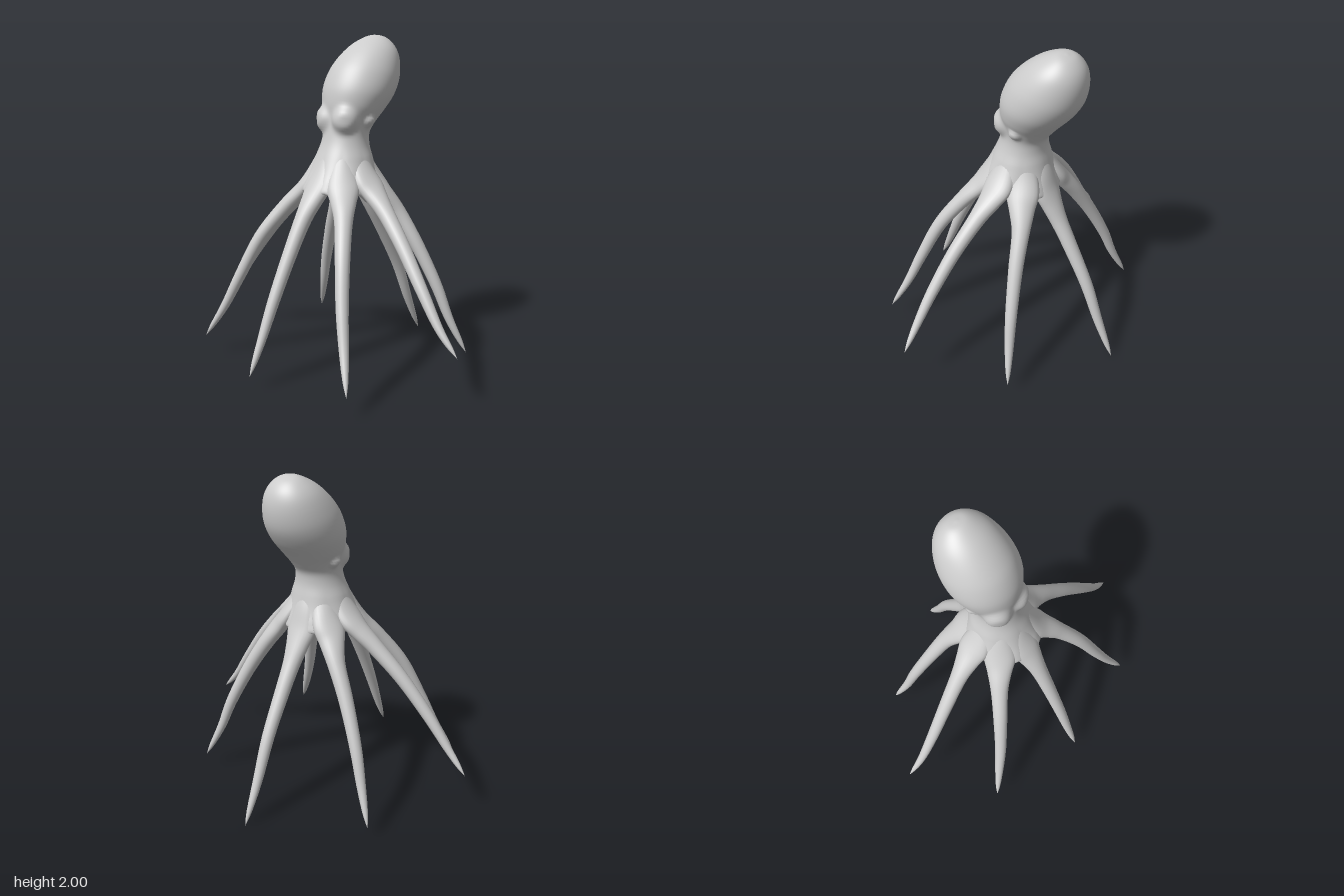
import * as THREE from 'three';
import { mergeVertices } from 'three/addons/utils/BufferGeometryUtils.js';

const V = (x, y, z) => new THREE.Vector3(x, y, z);

// Skin a list of closed rings (each an array of points) with smooth normals
function loft(rings) {
  const n = rings[0].length;
  const index = [];
  for (let i = 0; i < rings.length - 1; i++) {
    for (let j = 0; j < n; j++) {
      const k = (j + 1) % n;
      const a = i * n + j, b = a + n, c = i * n + k, d = c + n;
      index.push(a, b, d, a, d, c);
    }
  }
  let geo = new THREE.BufferGeometry().setFromPoints(rings.flat());
  geo.setIndex(index);
  geo = mergeVertices(geo, 1e-5);
  geo.computeVertexNormals();
  return geo;
}

// Body sections, top to bottom: front z, front y, back z, back y, half width, web ridge
const SECTIONS = [
  [-0.30, 1.998, -0.30, 1.998, 0, 0],
  [-0.25, 2.0, -0.35, 1.975, 0.06, 0],
  [-0.18, 1.975, -0.39, 1.93, 0.115, 0],
  [-0.11, 1.935, -0.41, 1.875, 0.158, 0],
  [-0.03, 1.87, -0.412, 1.80, 0.192, 0],
  [0.035, 1.795, -0.39, 1.71, 0.214, 0],
  [0.085, 1.69, -0.335, 1.62, 0.216, 0],
  [0.10, 1.60, -0.265, 1.54, 0.19, 0],
  [0.10, 1.52, -0.21, 1.475, 0.154, 0],
  [0.11, 1.44, -0.172, 1.42, 0.137, 0],
  [0.13, 1.36, -0.165, 1.36, 0.145, 0],
  [0.165, 1.28, -0.18, 1.28, 0.175, 0.1],
  [0.205, 1.20, -0.20, 1.20, 0.205, 0.4],
  [0.245, 1.13, -0.225, 1.13, 0.23, 0.8],
  [0.262, 1.085, -0.235, 1.085, 0.24, 1],
  [0.22, 1.075, -0.20, 1.075, 0.20, 0.8],
  [0.12, 1.11, -0.10, 1.11, 0.11, 0.2],
  [0.01, 1.13, 0.01, 1.13, 0, 0],
];
const ARM_ANGLES = [0, 43, 87, 130, 180].map(THREE.MathUtils.degToRad);

// Brow bulges and eye knobs: centre, height, spread
const BUMPS = [
  [V(0.085, 1.50, 0.065), 0.045, 0.07],
  [V(0.145, 1.49, -0.07), 0.026, 0.034],
];

function bodyGeometry() {
  const front = new THREE.CatmullRomCurve3(SECTIONS.map(s => V(s[0], s[1], s[4])));
  const back = new THREE.CatmullRomCurve3(SECTIONS.map(s => V(s[2], s[3], s[5])));
  const rows = (SECTIONS.length - 1) * 5, n = 96, rings = [];
  for (let i = 0; i <= rows; i++) {
    const f = front.getPoint(i / rows), b = back.getPoint(i / rows);
    const ring = [];
    for (let j = 0; j < n; j++) {
      const a = (j / n) * Math.PI * 2, c = Math.cos(a), s = Math.sin(a);
      const p = V(s * f.z, (f.y + b.y) / 2 + c * (f.y - b.y) / 2,
        (f.x + b.x) / 2 + c * (f.x - b.x) / 2);
      // hem of the web dips where an arm leaves it
      const around = a > Math.PI ? Math.PI * 2 - a : a;
      const gap = Math.min(...ARM_ANGLES.map(t => Math.abs(around - t)));
      p.y -= 0.06 * b.z * Math.max(0, 1 - gap / 0.39) ** 2;
      // mirrored facial bumps push the skin outward
      let push = 0;
      for (const [q, height, spread] of BUMPS) {
        const d = Math.hypot(Math.abs(p.x) - q.x, p.y - q.y, p.z - q.z) / spread;
        push += height * Math.exp(-(d ** 4));
      }
      p.add(V(s * push, 0, c * push));
      ring.push(p);
    }
    rings.push(ring);
  }
  return loft(rings);
}

// Arm section: position along the arm, half width, half thickness.
// The broad root fans out into the web.
const TAPER = new THREE.CatmullRomCurve3([
  V(0, 0.04, 0.03), V(0.1, 0.075, 0.048), V(0.19, 0.095, 0.05), V(0.26, 0.074, 0.05),
  V(0.34, 0.054, 0.047), V(0.5, 0.043, 0.041), V(0.7, 0.035, 0.034),
  V(0.85, 0.026, 0.025), V(0.95, 0.014, 0.014), V(1, 0, 0),
]);

function armGeometry(points, mirror) {
  const curve = new THREE.CatmullRomCurve3(points.map(([x, y, z]) => V(x * mirror, y, z)));
  const steps = 54, n = 24, rings = [];
  for (let i = 0; i <= steps; i++) {
    const { x, y: width, z: thickness } = TAPER.getPoint(i / steps);
    const t = THREE.MathUtils.clamp(x, 0, 1);
    const centre = curve.getPointAt(t), tangent = curve.getTangentAt(t);
    const side = V(0, 1, 0).cross(tangent).normalize();
    const outward = tangent.clone().cross(side);
    const ring = [];
    for (let j = 0; j < n; j++) {
      const a = (j / n) * Math.PI * 2;
      ring.push(centre.clone()
        .addScaledVector(side, Math.cos(a) * width)
        .addScaledVector(outward, -Math.sin(a) * thickness));
    }
    rings.push(ring);
  }
  return loft(rings);
}

// Centre lines of the arms on the left half
const ARMS = {
  frontArm: [[0, 1.36, 0.08], [0, 1.2, 0.15], [0, 1.08, 0.225], [0, 0.95, 0.315],
    [0, 0.8, 0.40], [0, 0.5, 0.55], [0, 0.25, 0.66], [0, 0.08, 0.74]],
  frontSideArm: [[0.06, 1.36, 0.06], [0.11, 1.2, 0.11], [0.17, 1.08, 0.165], [0.25, 0.97, 0.24],
    [0.36, 0.78, 0.355], [0.46, 0.52, 0.455], [0.54, 0.32, 0.52], [0.64, 0.12, 0.6]],
  sideArm: [[0.08, 1.36, -0.01], [0.15, 1.22, 0], [0.24, 1.11, 0.005], [0.38, 0.985, 0.03],
    [0.54, 0.825, 0.065], [0.72, 0.605, 0.1], [0.86, 0.42, 0.115], [0.975, 0.295, 0.11]],
  backSideArm: [[0.06, 1.36, -0.07], [0.11, 1.2, -0.11], [0.18, 1.08, -0.15], [0.26, 0.95, -0.205],
    [0.37, 0.76, -0.255], [0.49, 0.5, -0.315], [0.56, 0.3, -0.355], [0.65, 0.09, -0.415]],
  backArm: [[0, 1.36, -0.1], [0, 1.2, -0.155], [0, 1.08, -0.195], [0, 0.93, -0.27],
    [0, 0.76, -0.37], [0, 0.5, -0.515], [0, 0.25, -0.62], [0, 0, -0.74]],
};

export function createModel() {
  const model = new THREE.Group();
  model.name = 'octopus';
  const skin = new THREE.MeshStandardMaterial({ color: 0xcccccc });
  const add = (name, geometry) => {
    const mesh = new THREE.Mesh(geometry, skin);
    mesh.name = name;
    model.add(mesh);
  };

  // Mantle, face and web in one skin
  add('body', bodyGeometry());

  // Eight arms: two on the centre line, three mirrored pairs
  for (const [name, points] of Object.entries(ARMS)) {
    if (points[0][0] === 0) {
      add(name, armGeometry(points, 1));
    } else {
      add(name + 'Left', armGeometry(points, 1));
      add(name + 'Right', armGeometry(points, -1));
    }
  }
  return model;
}
